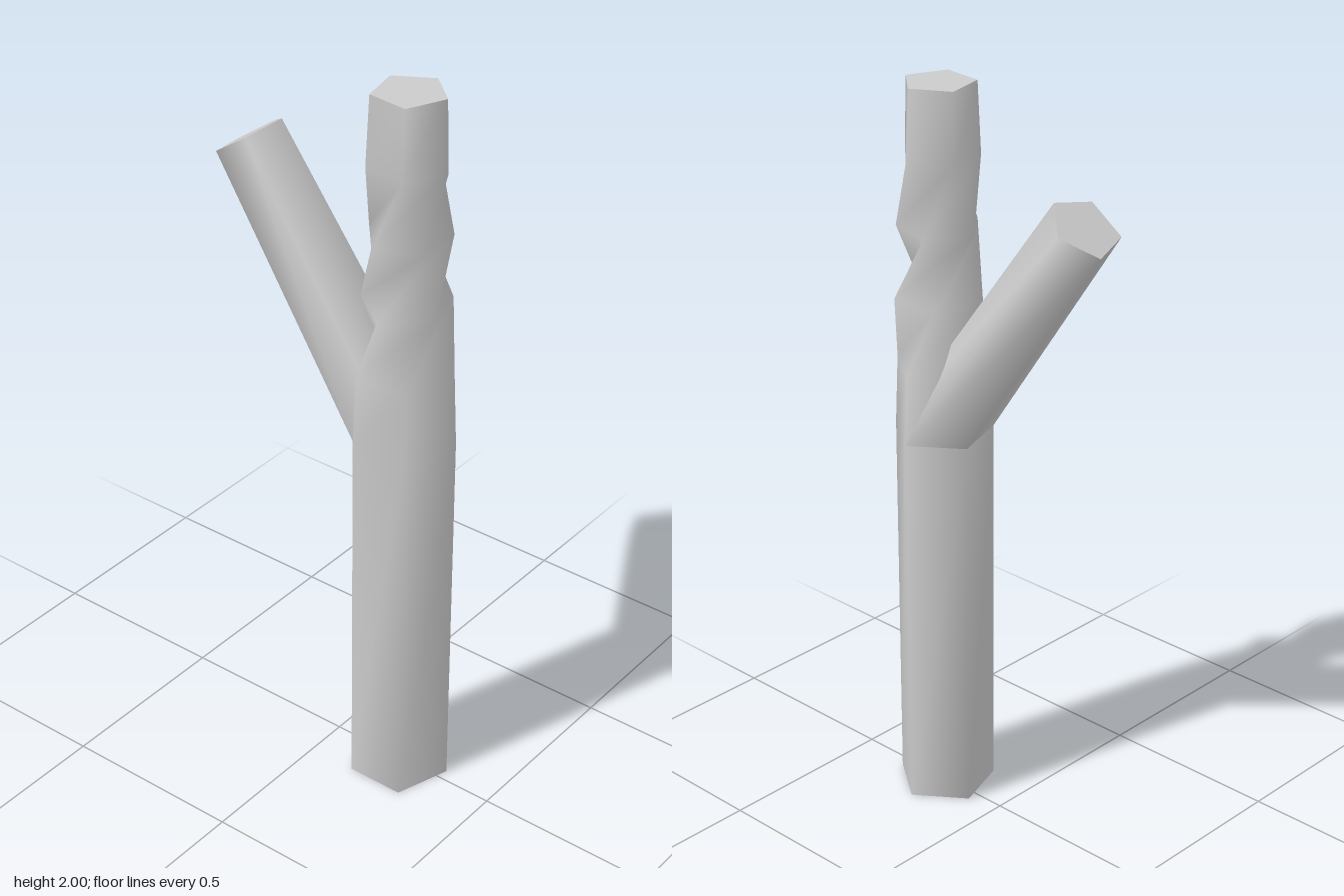
import * as THREE from 'three';

const SIDES = 5;
const material = new THREE.MeshStandardMaterial({ color: 0xcccccc, side: THREE.DoubleSide });

// Five-sided horizontal ring of the trunk, turned by an angle in degrees
function ring(y, radius, turn) {
  return Array.from({ length: SIDES }, (_, i) => {
    const a = (i * 360 / SIDES + turn) * Math.PI / 180;
    return [-0.01 + radius * Math.cos(a), y, 0.215 + radius * Math.sin(a)];
  });
}

function makeMesh(name, points, index) {
  const geometry = new THREE.BufferGeometry();
  geometry.setAttribute('position', new THREE.Float32BufferAttribute(points.flat(), 3));
  geometry.setIndex(index);
  geometry.computeVertexNormals();
  const mesh = new THREE.Mesh(geometry, material);
  mesh.name = name;
  return mesh;
}

// Smooth skin through a list of rings, closed by a flat end on the last ring
function limb(name, rings) {
  const index = [];
  for (let r = 0; r < rings.length - 1; r++) {
    for (let j = 0; j < SIDES; j++) {
      const k = (j + 1) % SIDES;
      const a = r * SIDES + j, b = r * SIDES + k;
      const d = a + SIDES, c = b + SIDES;
      index.push(a, d, b, b, d, c);
    }
  }
  const cap = [];
  for (let j = 1; j < SIDES - 1; j++) cap.push(0, j + 1, j);

  const group = new THREE.Group();
  group.name = name;
  group.add(makeMesh(name + 'Bark', rings.flat(), index));
  group.add(makeMesh(name + 'CutEnd', rings[rings.length - 1], cap));
  return group;
}

export function createModel() {
  const model = new THREE.Group();
  model.name = 'forkedTrunk';

  // Straight trunk, open below, whose upper stretch twists as it narrows
  const fork = ring(1.06, 0.135, 0);
  const turns = [0, -36, -94, -136, -138];
  const upper = turns.map((turn, i) => ring(1.248 + i * 0.188, 0.127 - i * 0.0078, turn));
  model.add(limb('trunk', [ring(0, 0.135, 0), fork, ...upper]));

  // Branch leaning backwards out of the fork, cut square to its length
  const end = [[0.088, -0.27], [0.02, -0.195], [-0.087, -0.222], [-0.087, -0.317], [0.02, -0.345]]
    .map(([x, z]) => [x, 1.795 + (z + 0.195) * 0.69, z]);
  // same turning order as the fork ring: right-hand side, front, then back
  model.add(limb('branch', [fork, end]));

  return model;
}
